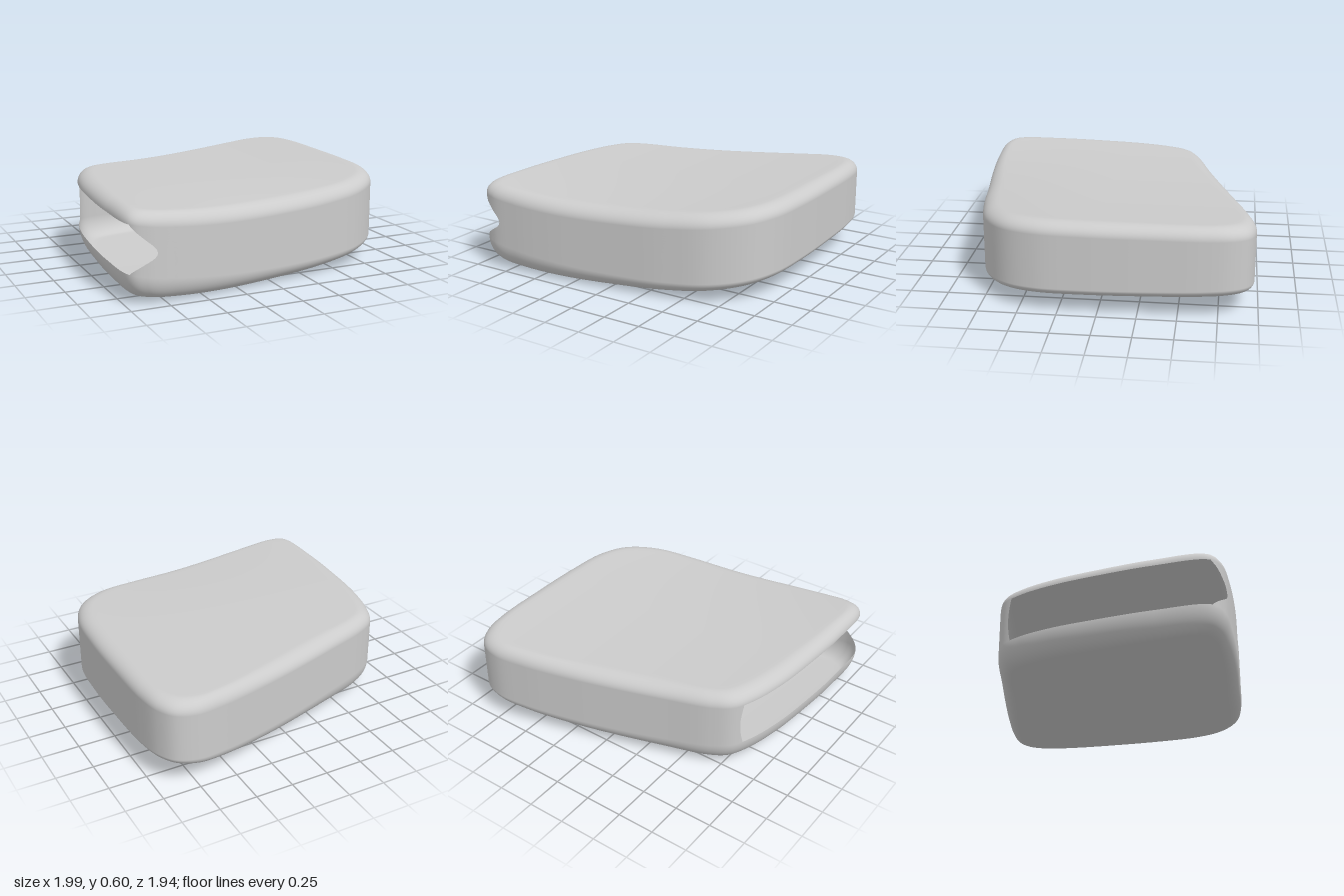
import * as THREE from 'three';
import { ParametricGeometry } from 'three/addons/geometries/ParametricGeometry.js';

// Plan outline (x, z), starting at the front corner of the open side and running along the front
const outlinePoints = [
  [-0.97, 0.9], [-0.88, 0.955], [-0.7, 0.965], [-0.4, 0.945], [0, 0.89],
  [0.4, 0.83], [0.68, 0.75], [0.87, 0.6], [0.96, 0.4], [0.99, 0.1],
  [0.995, -0.3], [0.985, -0.65], [0.95, -0.83], [0.88, -0.93], [0.75, -0.97],
  [0.55, -0.94], [0.2, -0.845], [0, -0.785], [-0.4, -0.66], [-0.7, -0.565],
  [-0.82, -0.49], [-0.89, -0.35], [-0.945, -0.12], [-0.975, 0.15], [-0.995, 0.55],
];
const COUNT = outlinePoints.length;
const WALL_END = 20.5; // outline position where the back wall stops at the opening
const outline = new THREE.CatmullRomCurve3(
  outlinePoints.map(([x, z]) => new THREE.Vector3(x, 0, z)), true);

// Heights of the sagging top and the bulging bottom
const topY = (x, z) =>
  0.56 + 0.035 * x * x + 0.01 * x - 0.04 * Math.max(0, z) ** 2 * (1 - x * x);
const bottomY = (x, z) => 0.075 * (x + 0.25) ** 2 + 0.02 * (z - 0.6) ** 2;

// Heights of the edge roundings
const topRound = () => 0.085;
const bottomRound = (x) => 0.1 - 0.05 * x;

// Panel point: v = 0 at the rim, rounding over, then flat to v = 1 at the centre
function panelPoint(u, v, target, height, round, sign) {
  const p = outline.getPoint(((u % 1) + 1) % 1);
  const radius = p.length();
  const bend = 0.4;
  const angle = Math.min(v / bend, 1) * Math.PI / 2;
  let r = radius - 0.11 * (1 - Math.cos(angle));
  if (v > bend) r *= Math.max(0.0005, (1 - v) / (1 - bend));
  const x = p.x * r / radius, z = p.z * r / radius;
  target.set(x, height(x, z) - sign * round(p.x) * (1 - Math.sin(angle)), z);
}

// Wall point: between the two rims, with the front end scooped back at mid height
function wallPoint(u, v, target) {
  const scoop = 1.4 * Math.sin(Math.PI * Math.min(1, Math.max(0, v))) ** 1.3;
  const back = 0.15 * Math.sin(Math.PI * Math.min(1, Math.max(0, v)));
  const k = THREE.MathUtils.lerp(scoop, WALL_END - back, u);
  const p = outline.getPoint((((k / COUNT) % 1) + 1) % 1);
  const low = bottomY(p.x, p.z) + bottomRound(p.x);
  const high = topY(p.x, p.z) - topRound();
  target.set(p.x, THREE.MathUtils.lerp(low, high, v), p.z);
}

export function createModel() {
  const group = new THREE.Group();
  group.name = 'openCushionCover';
  const material = new THREE.MeshStandardMaterial({ color: 0xcccccc, side: THREE.DoubleSide });

  const addPart = (name, point, slices, stacks) => {
    const mesh = new THREE.Mesh(new ParametricGeometry(point, slices, stacks), material);
    mesh.name = name;
    group.add(mesh);
  };

  addPart('topPanel', (u, v, t) => panelPoint(u, v, t, topY, topRound, 1), COUNT * 8, 36);
  addPart('bottomPanel', (u, v, t) => panelPoint(u, 1 - v, t, bottomY, bottomRound, -1), COUNT * 8, 36);
  // Front, left and back walls in one strip, leaving the right side open
  addPart('sideWall', wallPoint, WALL_END * 8, 20);
  return group;
}
